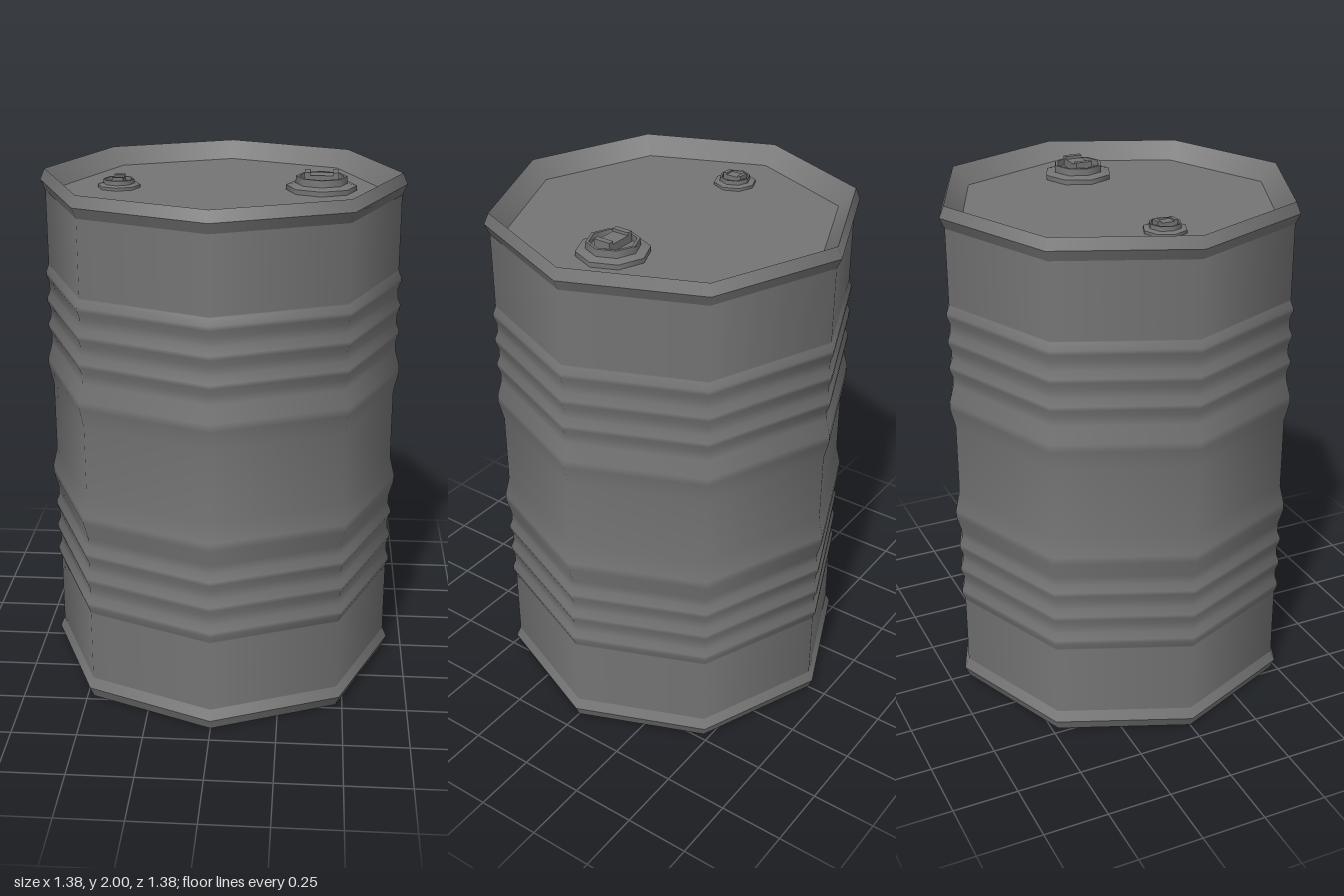
import * as THREE from 'three';

const SIDES = 8;

export function createModel() {
  const model = new THREE.Group();
  model.name = 'barrel';
  const steel = new THREE.MeshStandardMaterial({ color: 0x757575 });
  steel.name = 'grey steel';

  // Octagonal ring from [radius, height] points, listed bottom to top on the outside
  function ring(name, points, parent = model) {
    const geometry = new THREE.LatheGeometry(points.map(([r, y]) => new THREE.Vector2(r, y)), SIDES);
    const mesh = new THREE.Mesh(geometry, steel);
    mesh.name = name;
    parent.add(mesh);
    return mesh;
  }

  // Flat octagon facing up, or down
  function disc(name, radius, y, up = true, parent = model) {
    const mesh = new THREE.Mesh(new THREE.CircleGeometry(radius, SIDES), steel);
    mesh.rotation.x = up ? -Math.PI / 2 : Math.PI / 2;
    mesh.position.y = y;
    mesh.name = name;
    parent.add(mesh);
  }

  function box(name, w, h, d, x, y, parent) {
    const mesh = new THREE.Mesh(new THREE.BoxGeometry(w, h, d), steel);
    mesh.position.set(x, y, 0);
    mesh.name = name;
    parent.add(mesh);
  }

  // Body wall with three small ribs and one large hoop, mirrored about mid height
  const R = 0.672;
  const lower = [[R, 0.085], [R, 0.37]];
  for (const y of [0.41, 0.515, 0.62]) {
    lower.push([R, y - 0.035], [0.683, y - 0.008], [0.683, y + 0.008], [R, y + 0.035]);
  }
  lower.push([R, 0.69], [0.69, 0.755], [0.69, 0.785], [R, 0.86]);
  const upper = lower.map(([r, y]) => [r, 2 - y]).reverse();
  ring('bodyWall', [...lower, ...upper]);

  // Rims, each facet separate so that its edges stay sharp
  const rim = [[R, 0.085], [0.69, 0.045], [0.672, 0.003], [0.61, 0.07]];
  for (let i = 0; i < rim.length - 1; i++) {
    ring('bottomRim', [rim[i + 1], rim[i]]);
    ring('topRim', [rim[i], rim[i + 1]].map(([r, y]) => [r, 2 - y]));
  }
  disc('base', 0.61, 0.07, false);
  disc('lid', 0.61, 1.93);

  // Screw plug: flange, collar, recess and a grip bar with raised ends
  function plug(name, x, scale, turn) {
    const group = new THREE.Group();
    group.name = name;
    group.position.set(x, 1.93, 0);
    group.rotation.y = turn;
    group.scale.setScalar(scale);
    const profile = [[0.132, 0], [0.132, 0.018], [0.097, 0.026], [0.095, 0.052], [0.084, 0.052], [0.082, 0.03]];
    for (let i = 0; i < profile.length - 1; i++) {
      ring('plugCollar', [profile[i], profile[i + 1]], group);
    }
    disc('plugRecess', 0.083, 0.03, true, group);
    box('gripBar', 0.126, 0.03, 0.066, 0, 0.044, group);
    for (const side of [-1, 1]) box('gripEnd', 0.022, 0.04, 0.066, side * 0.052, 0.05, group);
    model.add(group);
  }
  plug('largePlug', 0.37, 1, 0);
  plug('smallPlug', -0.39, 0.61, Math.PI / 2);

  return model;
}
